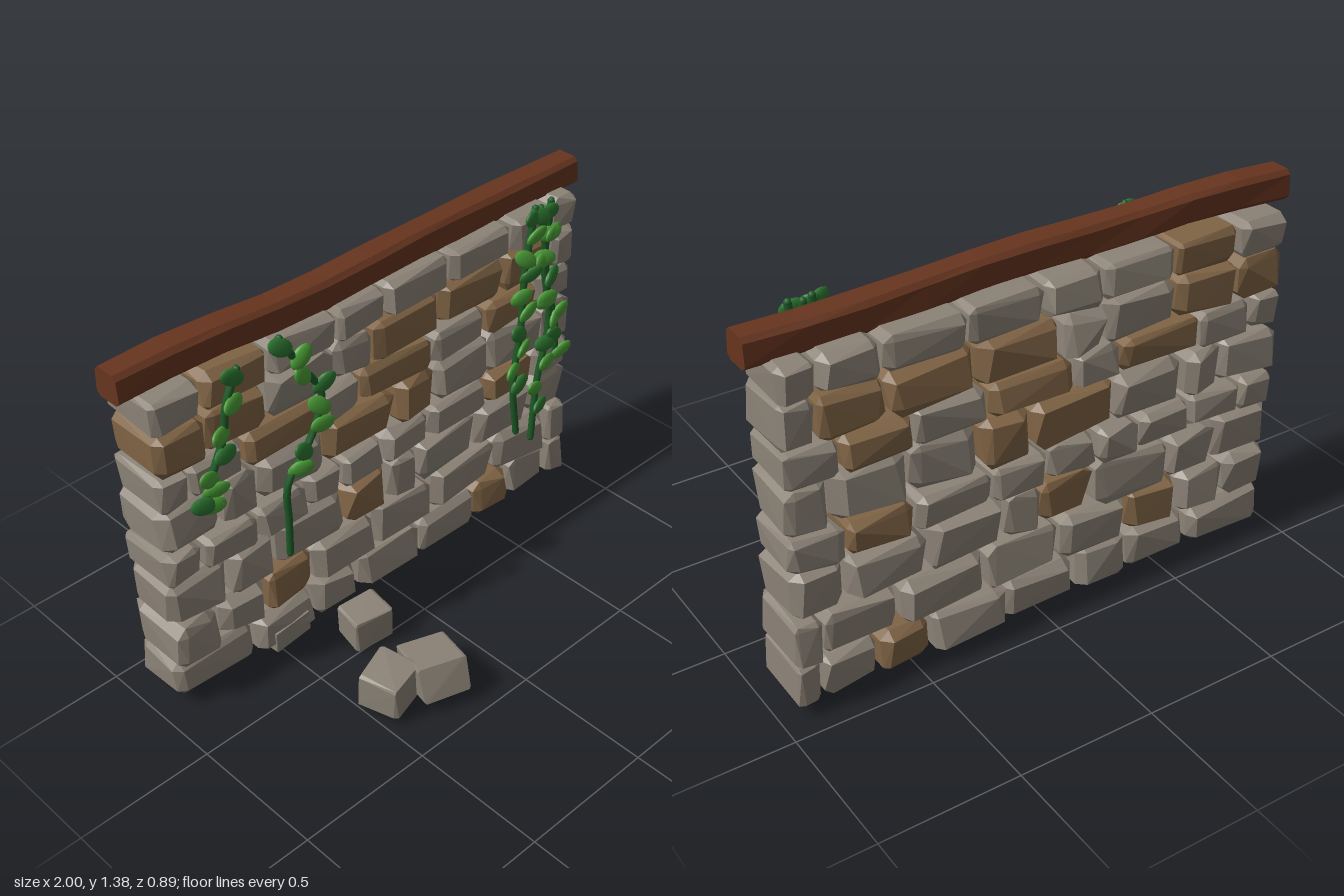
import * as THREE from 'three';
import { ConvexGeometry } from 'three/addons/geometries/ConvexGeometry.js';

let seed = 7;
const rnd = () => { // small seeded generator, 0..1
  seed = (seed * 16807) % 2147483647;
  return seed / 2147483647;
};
const material = (name, color, flat) => {
  const m = new THREE.MeshStandardMaterial({ color, flatShading: flat });
  m.name = name;
  return m;
};

// Courses of the wall from the ground up: height, x of the joints, which stones are tan
const COURSES = [
  { h: 0.155, joints: [-.61, -.345, -.13, .165, .45, .645, .855], tan: [5] },
  { h: 0.17, joints: [-.75, -.55, -.335, -.055, .235, .56, .845], tan: [2] },
  { h: 0.175, joints: [-.695, -.495, -.185, .025, .163, .46, .745], tan: [3] },
  { h: 0.13, joints: [-.795, -.578, -.36, -.195, 0, .215, .505, .747], tan: [7] },
  { h: 0.178, joints: [-.702, -.55, -.268, .06, .255, .515, .79], tan: [3, 4] },
  { h: 0.132, joints: [-.822, -.6, -.283, -.095, .228, .495, .75], tan: [2, 4, 6] },
  { h: 0.158, joints: [-.745, -.497, -.212, -.042, .273, .587, .822], tan: [0, 1, 4, 5, 6] },
  { h: 0.132, joints: [-.742, -.482, -.2, .02, .308, .605, .815], tan: [1] },
];

// Vine stems: x at evenly falling heights from top to foot, leaf count,
// how far down leaves grow, and how strongly they crowd towards the foot
const STEMS = [
  { top: 1.3, foot: 0.86, xs: [-.64, -.69, -.71, -.76, -.8], leaves: 8, reach: 1, crowd: 1.7 },
  { top: 1.33, foot: 0.48, xs: [-.47, -.39, -.31, -.36, -.47, -.475, -.478], leaves: 8, reach: 0.64, crowd: 1 },
  { top: 1.33, foot: 0.41, xs: [.68, .64, .63, .6, .625], leaves: 10, reach: 0.76, crowd: 1 },
  { top: 1.33, foot: 0.34, xs: [.76, .74, .78, .73, .71], leaves: 10, reach: 0.86, crowd: 1 },
  { top: 1.32, foot: 0.66, xs: [.71, .74, .76, .81, .825], leaves: 8, reach: 0.97, crowd: 1 },
];

// Chipped block: hull of three jittered points around each corner
function stoneGeometry(w, h, d, chip = 1) {
  const pts = [];
  const cut = Math.min(w, h, d);
  const j = () => rnd() * cut * 0.06;
  for (const sx of [-1, 1]) for (const sy of [-1, 1]) for (const sz of [-1, 1]) {
    const a = cut * chip * (0.12 + 0.16 * rnd());
    const b = cut * chip * (0.1 + 0.14 * rnd());
    const c = cut * chip * (0.14 + 0.26 * rnd());
    pts.push(new THREE.Vector3(sx * (w / 2 - j()), sy * (h / 2 - b), sz * (d / 2 - c)));
    pts.push(new THREE.Vector3(sx * (w / 2 - a), sy * (h / 2 - j()), sz * (d / 2 - c)));
    pts.push(new THREE.Vector3(sx * (w / 2 - a), sy * (h / 2 - b), sz * (d / 2 - j() * 3)));
  }
  return new ConvexGeometry(pts);
}

// Hewn beam: chamfered square swept along x and gently bowed
function beamGeometry() {
  const r = 0.053, c = 0.037;
  const section = new THREE.Shape();
  for (let i = 0; i < 4; i++) { // two points per chamfered corner
    const turn = new THREE.Vector2();
    section.moveTo === undefined || [[r, -c], [r, c]].forEach(([x, y]) => {
      const q = new THREE.Vector2(x, y).rotateAround(turn, i * Math.PI / 2);
      if (i === 0 && y < 0) section.moveTo(q.x, q.y);
      else section.lineTo(q.x, q.y);
    });
  }
  const beam = new THREE.ExtrudeGeometry(section, { depth: 2, steps: 10, bevelEnabled: false });
  beam.rotateY(Math.PI / 2).translate(-1, 0, 0);
  const p = beam.attributes.position;
  for (let i = 0; i < p.count; i++) {
    const x = p.getX(i), y = p.getY(i), z = p.getZ(i);
    const swell = 1 + 0.05 * Math.sin(x * 9 + y * 40);
    p.setY(i, 1.331 - 0.013 * x + 0.005 * Math.sin(x * 7) + y * swell);
    p.setZ(i, -0.289 + 0.013 * Math.cos(x * 3.4 + 0.6) + z * swell);
  }
  beam.computeVertexNormals();
  return beam;
}

export function createModel() {
  seed = 7;
  const model = new THREE.Group();
  const grey = material('grey stone', 0x8c8377, true);
  const tan = material('tan stone', 0x806445, true);
  const wood = material('brown wood', 0x67351f, true);
  const stemGreen = material('stem green', 0x1d5a26, false);
  const leafGreen = material('leaf green', 0x4a9c36, false);
  const darkLeaf = material('dark leaf green', 0x2c7530, false);
  const add = (parent, name, geometry, mat) => {
    const mesh = new THREE.Mesh(geometry, mat);
    mesh.name = name;
    parent.add(mesh);
    return mesh;
  };
  const group = (name) => {
    const g = new THREE.Group();
    g.name = name;
    model.add(g);
    return g;
  };

  // Stone wall
  const wall = group('stoneWall');
  let base = 0.06;
  for (const course of COURSES) {
    const edges = [-0.945, ...course.joints, 0.945];
    for (let i = 0; i + 1 < edges.length; i++) {
      const geometry = stoneGeometry(edges[i + 1] - edges[i] - 0.006, course.h, 0.255 + 0.025 * rnd());
      const s = add(wall, 'wallStone', geometry, course.tan.includes(i) ? tan : grey);
      s.position.set((edges[i] + edges[i + 1]) / 2, base + course.h / 2, -0.307 + 0.012 * (rnd() - 0.5));
      s.rotation.z = 0.04 * (rnd() - 0.5);
    }
    base += course.h;
  }

  // Fallen stones
  const rubble = group('fallenStones');
  for (const { size, at, tilt, turn } of [
    { size: [.185, .14, .235], at: [-.25, .11, .3], tilt: -.28, turn: -.38 },
    { size: [.17, .15, .17], at: [-.415, .115, .255], tilt: .06, turn: .25 },
    { size: [.16, .145, .155], at: [-.25, .098, -.045], tilt: .06, turn: -.15 },
    { size: [.17, .1, .11], at: [-.47, .095, -.225], tilt: .06, turn: .1 },
  ]) {
    const s = add(rubble, 'fallenStone', stoneGeometry(...size, 0.45), grey);
    s.position.set(...at);
    s.rotation.set(tilt, turn, 0.05, 'YXZ');
  }

  add(model, 'topBeam', beamGeometry(), wood);

  // Climbing vines with leaves on alternate sides of each stem
  const leafShape = new THREE.SphereGeometry(1, 12, 8).scale(0.048, 0.031, 0.013);
  const tipShape = new THREE.SphereGeometry(0.013, 7, 5);
  for (const { top, foot, xs, leaves, reach, crowd } of STEMS) {
    const vine = group('vine');
    const points = xs.map((x, i) => new THREE.Vector3(x, top + (foot - top) * i / (xs.length - 1), -0.153));
    const curve = new THREE.CatmullRomCurve3(points);
    add(vine, 'vineStem', new THREE.TubeGeometry(curve, 24, 0.013, 7), stemGreen);
    for (const end of [0, 1]) add(vine, 'stemTip', tipShape, stemGreen).position.copy(curve.getPoint(end));
    for (let i = 0; i < leaves; i++) {
      const side = i % 2 ? 1 : -1;
      const along = 1 - (1 - i / (leaves - 1)) ** crowd;
      const at = curve.getPointAt(0.03 + (reach - 0.03) * along);
      const leaf = add(vine, 'leaf', leafShape, i % 3 ? leafGreen : darkLeaf);
      leaf.position.set(at.x + side * 0.02, at.y, -0.141);
      leaf.rotation.set(0.5 * (rnd() - 0.5), 0.7 * (rnd() - 0.5), side * (rnd() - 0.2));
    }
  }
  return model;
}
